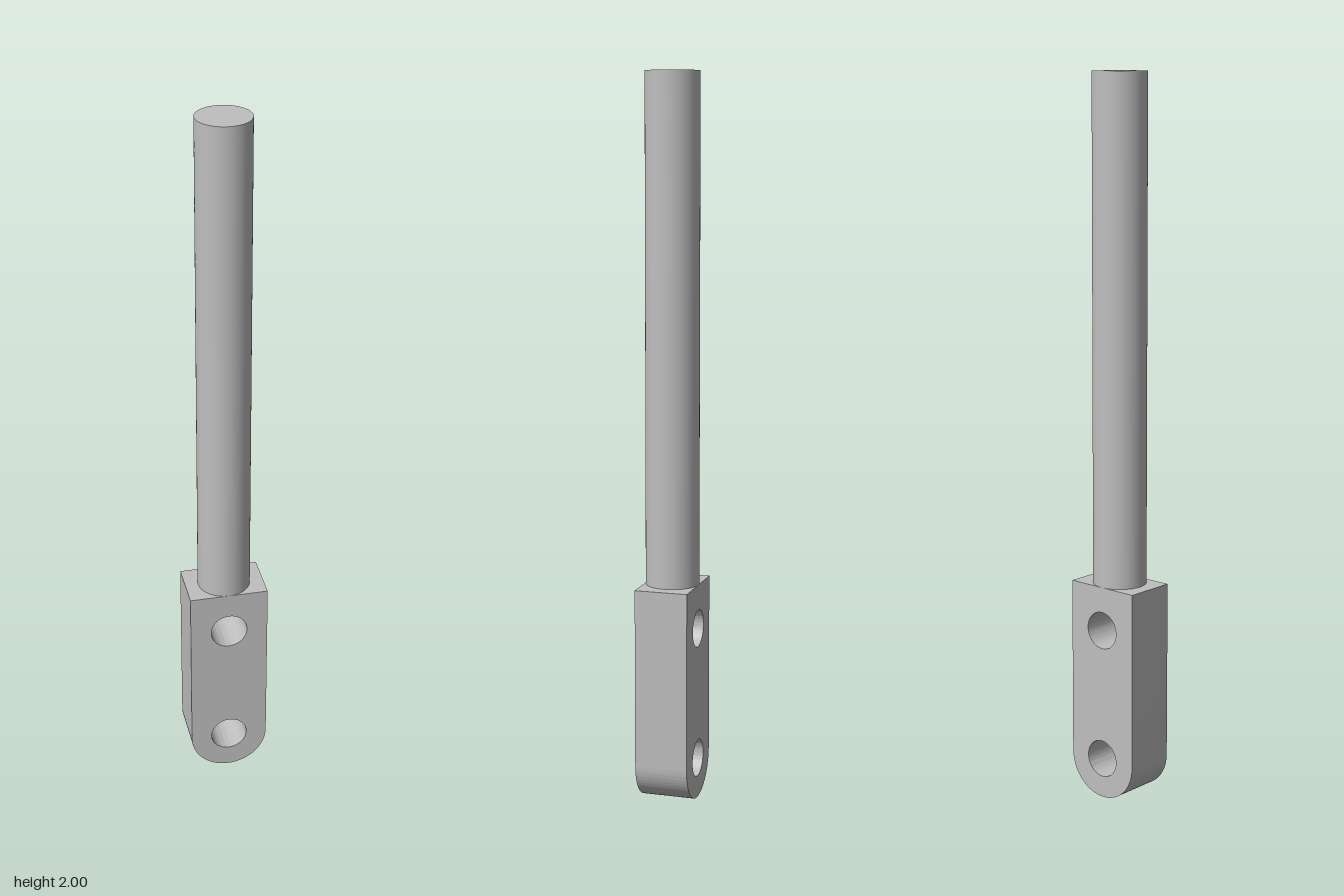
import * as THREE from 'three';
import { toCreasedNormals } from 'three/addons/utils/BufferGeometryUtils.js';

const HALF_WIDTH = 0.111;  // block half width, also the radius of its rounded foot
const RADIUS = 0.074;      // rod radius, also the block's half depth
const BLOCK_TOP = 0.61;
const HOLE_RADIUS = 0.052;
const HOLE_HEIGHTS = [0.113, 0.487];

export function createModel() {
  const model = new THREE.Group();
  model.name = 'rodEnd';
  const steel = new THREE.MeshStandardMaterial({ color: 0xbfbfbf });
  steel.name = 'steel grey';

  // Flat block with a semicircular foot and two through holes
  const outline = new THREE.Shape();
  outline.moveTo(HALF_WIDTH, BLOCK_TOP);
  outline.lineTo(-HALF_WIDTH, BLOCK_TOP);
  outline.lineTo(-HALF_WIDTH, HALF_WIDTH);
  outline.absarc(0, HALF_WIDTH, HALF_WIDTH, Math.PI, 2 * Math.PI, false);
  outline.closePath();
  for (const y of HOLE_HEIGHTS) {
    outline.holes.push(new THREE.Path().absarc(0, y, HOLE_RADIUS, 0, 2 * Math.PI, true));
  }
  const blockGeometry = new THREE.ExtrudeGeometry(outline, {
    depth: 2 * RADIUS, bevelEnabled: false, curveSegments: 32,
  });
  blockGeometry.translate(0, 0, -RADIUS);
  const block = new THREE.Mesh(toCreasedNormals(blockGeometry, Math.PI / 6), steel);
  block.name = 'eyeBlock';
  model.add(block);

  // Round rod standing on the block
  const length = 2 - BLOCK_TOP;
  const rod = new THREE.Mesh(new THREE.CylinderGeometry(RADIUS, RADIUS, length, 64), steel);
  rod.name = 'rod';
  rod.position.y = BLOCK_TOP + length / 2;
  model.add(rod);

  return model;
}
